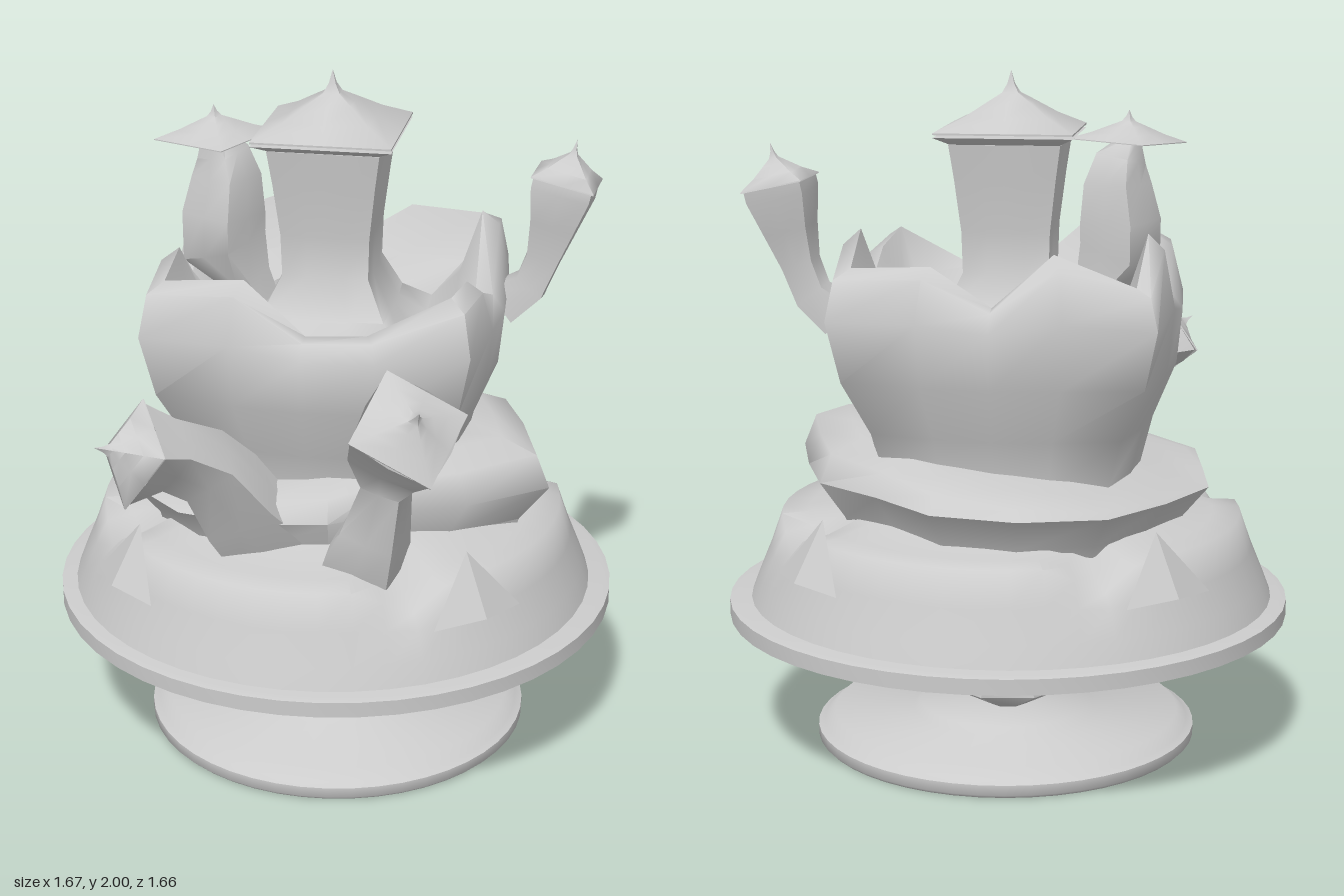
import * as THREE from 'three';
import { toCreasedNormals } from 'three/addons/utils/BufferGeometryUtils.js';

const material = new THREE.MeshStandardMaterial({ color: 0xcccccc, side: THREE.DoubleSide });
const SPIN = 0.27; // turn of the square keep
const V = (x, y, z) => new THREE.Vector3(x, y, z);

function mesh(name, geometry, crease = 0.7) {
  const m = new THREE.Mesh(toCreasedNormals(geometry, crease), material);
  m.name = name;
  return m;
}

// Skin over closed loops of points, ordered from bottom to top
function loft(rings) {
  const n = rings[0].length, index = [];
  for (let i = 0; i < rings.length - 1; i++) {
    for (let k = 0; k < n; k++) {
      const a = i * n + k, b = i * n + (k + 1) % n;
      index.push(a, b, b + n, a, b + n, a + n);
    }
  }
  const g = new THREE.BufferGeometry().setFromPoints(rings.flat());
  g.setIndex(index);
  return g;
}

// One loop; radius and height may depend on angle and step
function ring(n, radius, height, spin = 0) {
  return Array.from({ length: n }, (_, k) => {
    const a = (k / n) * Math.PI * 2, r = radius(a, k);
    return V(Math.cos(a + spin) * r, height(a, k), -Math.sin(a + spin) * r);
  });
}

// Square section with corner radius r, softened by round (0 to 1)
const square = (r, round) => a =>
  r * ((1 - round) / (Math.abs(Math.cos(a)) + Math.abs(Math.sin(a))) + round);

function lathe(name, points, segments, crease = 0.9, x = 0.01, z = 0) {
  const g = new THREE.LatheGeometry(points.map(p => new THREE.Vector2(...p)), segments);
  g.translate(x, 0, z);
  return mesh(name, g, crease);
}

// Swept four-cornered roof with a thin brim
function roof(name, r, h, spin) {
  const profile = [[0.001, 0.12], [0.8, 0.02], [1, 0], [1, 0.03], [0.62, 0.25],
    [0.32, 0.48], [0.12, 0.63], [0.05, 0.78], [0.001, 1]];
  return mesh(name, loft(profile.map(([s, y]) => ring(8, square(r * s, 0), () => y * h, spin))), 1);
}

// Bent square turret along [x, y, z, radius] stations, with a roof along axis
function turret(name, stations, axis, roofSize, roofHeight, spin) {
  const group = new THREE.Group();
  group.name = name;
  const up = V(0, 1, 0), centres = stations.map(s => V(s[0], s[1], s[2]));
  axis.normalize();
  const q = new THREE.Quaternion();
  const rings = stations.map((s, i) => {
    const last = centres.length - 1;
    const dir = i === last ? axis
      : centres[i + 1].clone().sub(centres[Math.max(i - 1, 0)]).normalize();
    q.setFromUnitVectors(up, dir);
    return ring(8, square(s[3], 0.2), () => 0, spin)
      .map(p => p.applyQuaternion(q).add(centres[i]));
  });
  group.add(mesh(name + 'Wall', loft(rings), 1.3));
  const top = roof(name + 'Roof', roofSize, roofHeight, spin);
  top.quaternion.setFromUnitVectors(up, axis);
  top.position.copy(centres[centres.length - 1]);
  group.add(top);
  return group;
}

export function createModel() {
  const model = new THREE.Group();

  // Foot, hub and dish
  model.add(lathe('foot', [[0, 0], [0.56, 0], [0.57, 0.01], [0.57, 0.04], [0.55, 0.05],
    [0.52, 0.078], [0.28, 0.08], [0.26, 0.1], [0, 0.1]], 48, 0.9, 0.005, 0.03));
  model.add(lathe('hub', [[0, 0.095], [0.06, 0.1], [0.205, 0.175], [0.16, 0.26], [0.17, 0.285]], 8, 1.6));
  model.add(lathe('dish', [[0, 0.27], [0.17, 0.28], [0.81, 0.405], [0.83, 0.41], [0.83, 0.455],
    [0.81, 0.46], [0, 0.46]], 48));

  // Bank of earth with four notches in its upper edge, rising to the rock
  const notch = a => Math.max(0, 1 - Math.abs(Math.sin(2 * (a + 0.02))) * 2.8);
  const bank = [[0.775, 0.46, 0], [0.752, 0.52, 0], [0.715, 0.61, 0.015], [0.68, 0.71, 0.09],
    [0.6, 0.715, 0.06], [0.5, 0.74, 0], [0.4, 0.77, 0]];
  model.add(mesh('bank', loft(bank.map(([r, y, d]) =>
    ring(48, () => r, a => y - d * notch(a)))), 1.2));

  // Thin spikes lying against the bank
  for (let i = 0; i < 4; i++) {
    const g = new THREE.ConeGeometry(0.15, 0.19, 4);
    g.scale(0.3, 1, 1);
    g.rotateZ(0.3);
    g.translate(0.69, 0.685, 0);
    g.rotateY(0.26 + i * Math.PI / 2);
    model.add(mesh('spike', g, 0.3));
  }

  // Uneven rock terrace, higher at the front left
  const outline = [0.6, 0.55, 0.62, 0.64, 0.65, 0.6, 0.61, 0.57,
    0.62, 0.6, 0.55, 0.51, 0.47, 0.55, 0.68, 0.6];
  const terrace = [[0.84, 0.66, 0], [0.87, 0.73, 0], [1, 0.835, 0.01], [0.94, 0.88, 0.06],
    [0.78, 0.91, 0.07], [0.6, 0.92, 0.05]];
  model.add(mesh('terrace', loft(terrace.map(([s, y, d]) => ring(16,
    (a, k) => s * outline[k], a => y + d * Math.cos(a + 0.75), 0.03))), 1));

  // Keep: outer wall, scalloped rim, sunken court and central tower in one skin
  // [corner radius, height, roundness, share of the rim scallop]
  const keep = [[0.44, 0.72, 0.55, 0], [0.45, 0.86, 0.5, 0], [0.5, 1, 0.45, 0], [0.6, 1.16, 0.35, 0],
    [0.65, 1.33, 0.22, 0.2], [0.62, 1.42, 0.15, 0.8], [0.56, 1.44, 0.12, 1], [0.48, 1.33, 0.1, 0.4],
    [0.36, 1.26, 0.1, 0], [0.25, 1.32, 0.1, 0], [0.175, 1.43, 0.08, 0], [0.18, 1.55, 0.05, 0],
    [0.205, 1.7, 0.03, 0], [0.225, 1.8, 0, 0], [0.001, 1.8, 0, 0]];
  const scallop = [0.04, 0.05, -0.06, 0.09, 0, 0.12, -0.06, 0.07,
    0.05, 0.07, -0.08, -0.07, 0.05, 0.02, -0.07, 0.12];
  model.add(mesh('keep', loft(keep.map(([r, y, round, s]) =>
    ring(16, square(r, round), (a, k) => y + s * scallop[k], SPIN))), 1.2));

  // Roof of the central tower, over a thin brim
  const brim = mesh('towerBrim', loft([[0.001, 1.8], [0.22, 1.8], [0.28, 1.822], [0.2, 1.824]]
    .map(([r, y]) => ring(8, square(r, 0), () => y, SPIN))));
  const mainRoof = roof('towerRoof', 0.28, 0.17, SPIN);
  mainRoof.position.y = 1.83;
  model.add(brim, mainRoof);

  // Four crooked turrets
  model.add(turret('rearTurret', [[-0.2, 1.3, -0.11, 0.07], [-0.22, 1.37, -0.12, 0.07],
    [-0.28, 1.47, -0.15, 0.125], [-0.28, 1.57, -0.15, 0.12], [-0.27, 1.68, -0.15, 0.1],
    [-0.28, 1.75, -0.15, 0.075], [-0.3, 1.8, -0.15, 0.04]], V(-0.05, 1, 0), 0.175, 0.09, 1.1 + SPIN));
  model.add(turret('sideTurret', [[0.48, 1.3, 0.13, 0.08], [0.55, 1.36, 0.17, 0.065],
    [0.58, 1.45, 0.19, 0.065], [0.605, 1.55, 0.2, 0.09], [0.625, 1.65, 0.21, 0.12],
    [0.632, 1.68, 0.21, 0.12]], V(0.2, 1, 0.1), 0.13, 0.12, 0.2));
  model.add(turret('outerTurret', [[-0.28, 0.74, 0.25, 0.17], [-0.4, 0.88, 0.32, 0.14],
    [-0.5, 1.02, 0.37, 0.11], [-0.61, 1.085, 0.41, 0.1], [-0.71, 1.11, 0.43, 0.14]],
    V(-0.88, 0.36, 0.22), 0.15, 0.13, 0.5));
  model.add(turret('frontTurret', [[-0.07, 0.72, 0.48, 0.14], [-0.07, 0.85, 0.56, 0.11],
    [-0.05, 0.99, 0.59, 0.08], [-0.04, 1.1, 0.62, 0.14], [-0.035, 1.2, 0.71, 0.17]],
    V(0, 0.7, 0.72), 0.175, 0.11, 0.1));

  return model;
}
